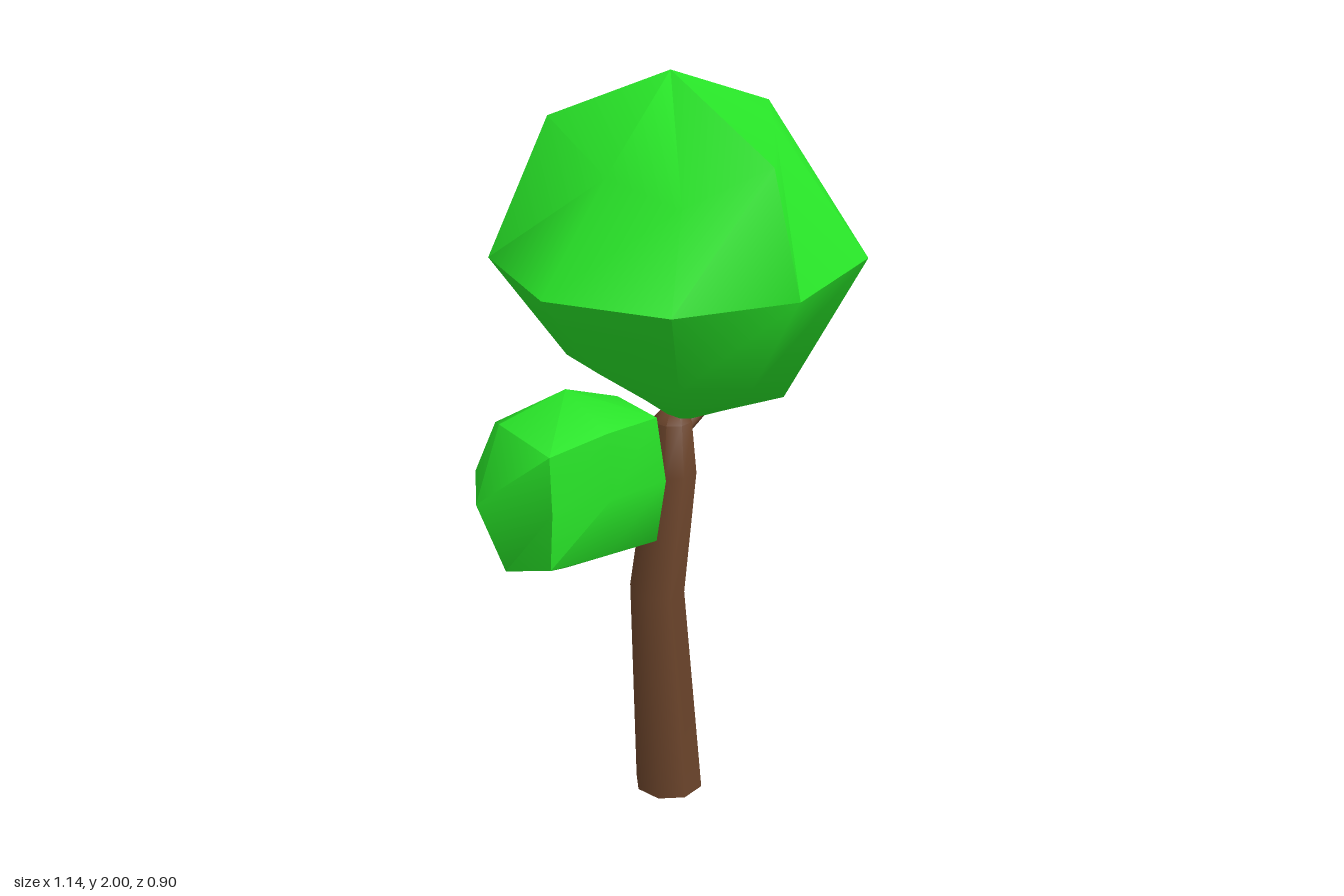
import * as THREE from 'three';
import { toCreasedNormals } from 'three/addons/utils/BufferGeometryUtils.js';

const leaf = new THREE.MeshStandardMaterial({ color: 0x28e428 });
const bark = new THREE.MeshStandardMaterial({ color: 0x6b442b });

// Skin between a bottom pole, stacked rings of equal size and a top pole.
// Rings run from front (+z) towards +x and round the back.
function loft(bottom, rings, top, crease) {
  const n = rings[0].length;
  const points = [bottom, ...rings.flat(), top];
  const last = points.length - 1;
  const index = [];
  for (let i = 0; i < n; i++) {
    const j = (i + 1) % n;
    index.push(0, 1 + j, 1 + i);
    for (let r = 0; r < rings.length - 1; r++) {
      const a = 1 + r * n, b = a + n;
      index.push(a + i, a + j, b + j, a + i, b + j, b + i);
    }
    index.push(last - n + i, last - n + j, last);
  }
  const geometry = new THREE.BufferGeometry();
  geometry.setAttribute('position', new THREE.Float32BufferAttribute(points.flat(), 3));
  geometry.setIndex(index);
  return toCreasedNormals(geometry, crease);
}

function add(group, name, geometry, material) {
  const mesh = new THREE.Mesh(geometry, material);
  mesh.name = name;
  group.add(mesh);
}

// Tapered twig between two points
function addBranch(group, name, from, to, r0, r1) {
  const a = new THREE.Vector3(...from), b = new THREE.Vector3(...to);
  const dir = b.clone().sub(a);
  const geometry = new THREE.CylinderGeometry(r1, r0, dir.length(), 8);
  geometry.applyQuaternion(new THREE.Quaternion().setFromUnitVectors(
    new THREE.Vector3(0, 1, 0), dir.normalize()));
  geometry.translate(...a.add(b).multiplyScalar(0.5).toArray());
  add(group, name, geometry, bark);
}

export function createModel() {
  const tree = new THREE.Group();
  tree.name = 'tree';

  // Bent eight-sided trunk with a bevelled top: [centre x, height, radius]
  const z = -0.015;
  const sections = [[0.09, 0, 0.0965], [0.037, 0.635, 0.076], [0.096, 0.96, 0.068],
    [0.098, 1.1, 0.053], [0.1, 1.125, 0.032]];
  const trunkRings = sections.map(([x, y, r]) => Array.from({ length: 8 }, (_, i) => {
    const t = ((i + 0.5) / 8) * Math.PI * 2;
    return [x + r * Math.sin(t), y, z + r * Math.cos(t)];
  }));
  add(tree, 'trunk', loft([0.09, 0, z], trunkRings, [0.1, 1.125, z], 0.9), bark);

  addBranch(tree, 'leftBranch', [0.1, 1.05, z], [0.415, 1.18, z], 0.025, 0.01);
  addBranch(tree, 'rightBranch', [0.07, 0.92, z], [-0.13, 1.0, z], 0.022, 0.016);

  // Large lopsided crown, hollowed under the back and at the front right
  const crownRings = [
    [[0.08, 1.165, 0.13], [0.2, 1.125, 0.09], [0.24, 1.18, -0.02], [0.21, 1.2, -0.09],
      [0.13, 1.24, -0.18], [0.03, 1.2, -0.1], [-0.03, 1.195, 0], [0, 1.18, 0.1]],
    [[0.02, 1.28, 0.3], [0.29, 1.16, 0.2], [0.4, 1.3, -0.02], [0.3, 1.29, -0.19],
      [0.13, 1.27, -0.35], [-0.08, 1.28, -0.22], [-0.2, 1.31, 0], [-0.15, 1.3, 0.21]],
    [[-0.005, 1.535, 0.45], [0.41, 1.535, 0.36], [0.57, 1.535, -0.035], [0.47, 1.535, -0.335],
      [0.18, 1.535, -0.455], [-0.2, 1.535, -0.37], [-0.385, 1.535, -0.01], [-0.295, 1.535, 0.305]],
    [[0.015, 1.83, 0.35], [0.27, 1.87, 0.16], [0.51, 1.868, -0.035], [0.4, 1.93, -0.275],
      [0.18, 1.82, -0.37], [-0.1, 1.89, -0.25], [-0.18, 1.79, 0.01], [-0.12, 1.73, 0.19]],
  ];
  add(tree, 'crown', loft([0.12, 1.09, -0.01], crownRings, [0.09, 2, -0.02], 0.95), leaf);

  // Small boxy leaf clump on the right branch
  const clumpRings = [
    [[-0.34, 0.92, 0.145], [-0.185, 0.91, 0.17], [-0.14, 0.905, 0.01], [-0.175, 0.92, -0.11],
      [-0.29, 0.94, -0.175], [-0.42, 0.93, -0.16], [-0.51, 0.885, -0.03], [-0.505, 0.93, 0.115]],
    [[-0.34, 1.075, 0.165], [-0.18, 1.075, 0.195], [-0.09, 1.075, 0.02], [-0.14, 1.075, -0.125],
      [-0.27, 1.075, -0.21], [-0.43, 1.075, -0.205], [-0.575, 1.075, -0.055], [-0.505, 1.075, 0.125]],
    [[-0.34, 1.235, 0.15], [-0.185, 1.235, 0.17], [-0.145, 1.24, 0.01], [-0.18, 1.22, -0.1],
      [-0.29, 1.205, -0.165], [-0.41, 1.21, -0.15], [-0.505, 1.26, -0.04], [-0.5, 1.215, 0.115]],
  ];
  add(tree, 'leafClump', loft([-0.32, 0.83, -0.01], clumpRings, [-0.32, 1.305, 0], 0.95), leaf);

  return tree;
}
